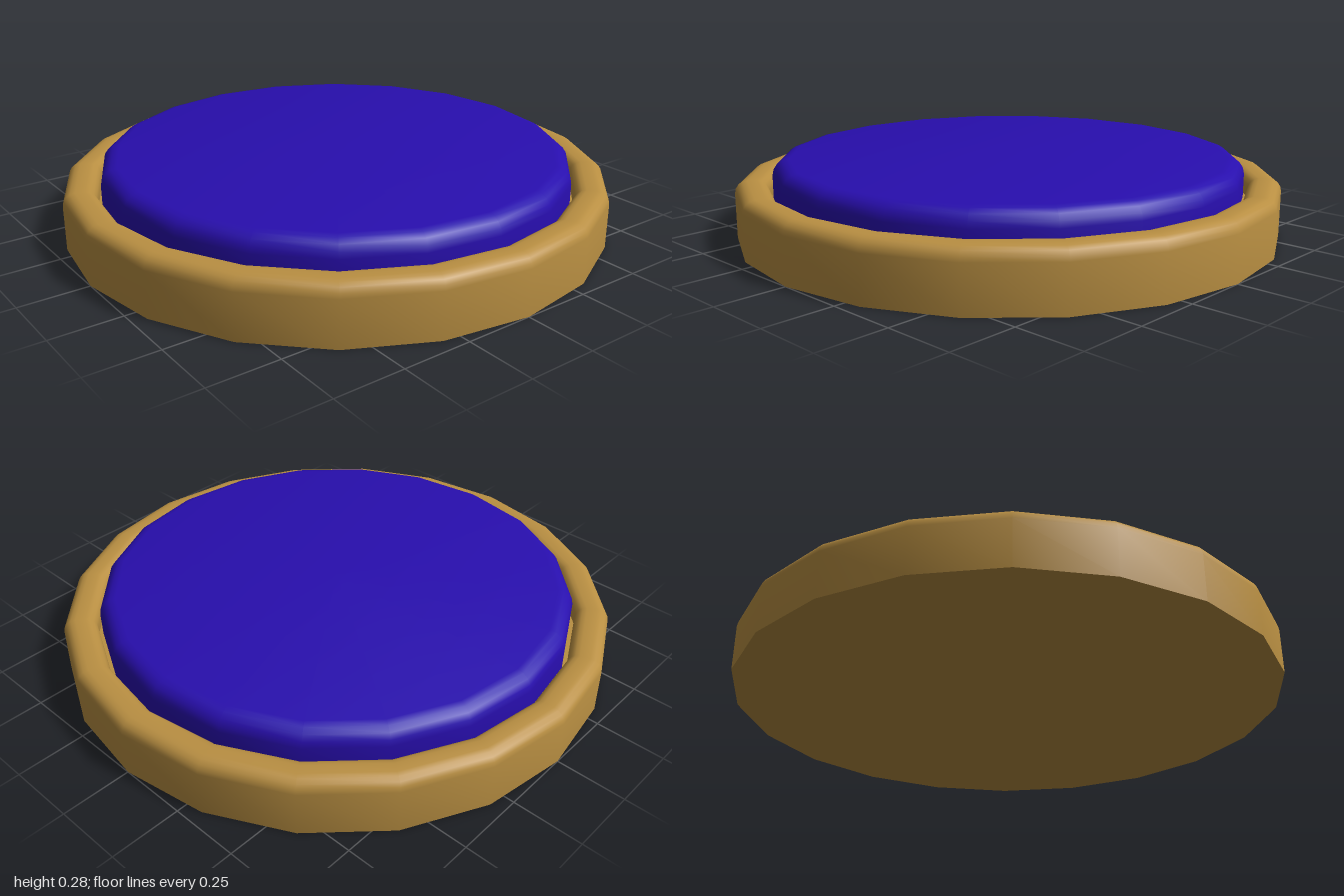
import * as THREE from 'three';
import { toCreasedNormals } from 'three/addons/utils/BufferGeometryUtils.js';

const SIDES = 20;

// Quarter-round corner points around (cx, cy), from angle a0 to a1 in degrees
function corner(cx, cy, r, a0, a1, steps = 4) {
  return Array.from({ length: steps + 1 }, (_, i) => {
    const a = THREE.MathUtils.degToRad(a0 + ((a1 - a0) * i) / steps);
    return [cx + r * Math.cos(a), cy + r * Math.sin(a)];
  });
}

// Turned part from a profile of [radius, height] points
function turned(name, profile, color) {
  const points = profile.map(([r, y]) => new THREE.Vector2(r, y));
  const geometry = toCreasedNormals(new THREE.LatheGeometry(points, SIDES), 0.7);
  const mesh = new THREE.Mesh(geometry, new THREE.MeshStandardMaterial({ color }));
  mesh.name = name;
  return mesh;
}

export function createModel() {
  const group = new THREE.Group();
  group.name = 'roundButton';

  // Base dish: flat underside, rounded rim, shallow recess
  const base = [
    [0, 0],
    [1, 0],
    ...corner(0.955, 0.165, 0.045, 0, 90),
    ...corner(0.92, 0.17, 0.04, 90, 180),
    [0.88, 0.14],
    [0, 0.14],
  ];
  group.add(turned('base', base, 0xb98f42));

  // Push cap: sits in the recess with a rounded top edge
  const cap = [
    [0, 0.13],
    [0.865, 0.13],
    ...corner(0.805, 0.225, 0.06, 0, 90),
    [0, 0.285],
  ];
  group.add(turned('cap', cap, 0x280eae));

  return group;
}
